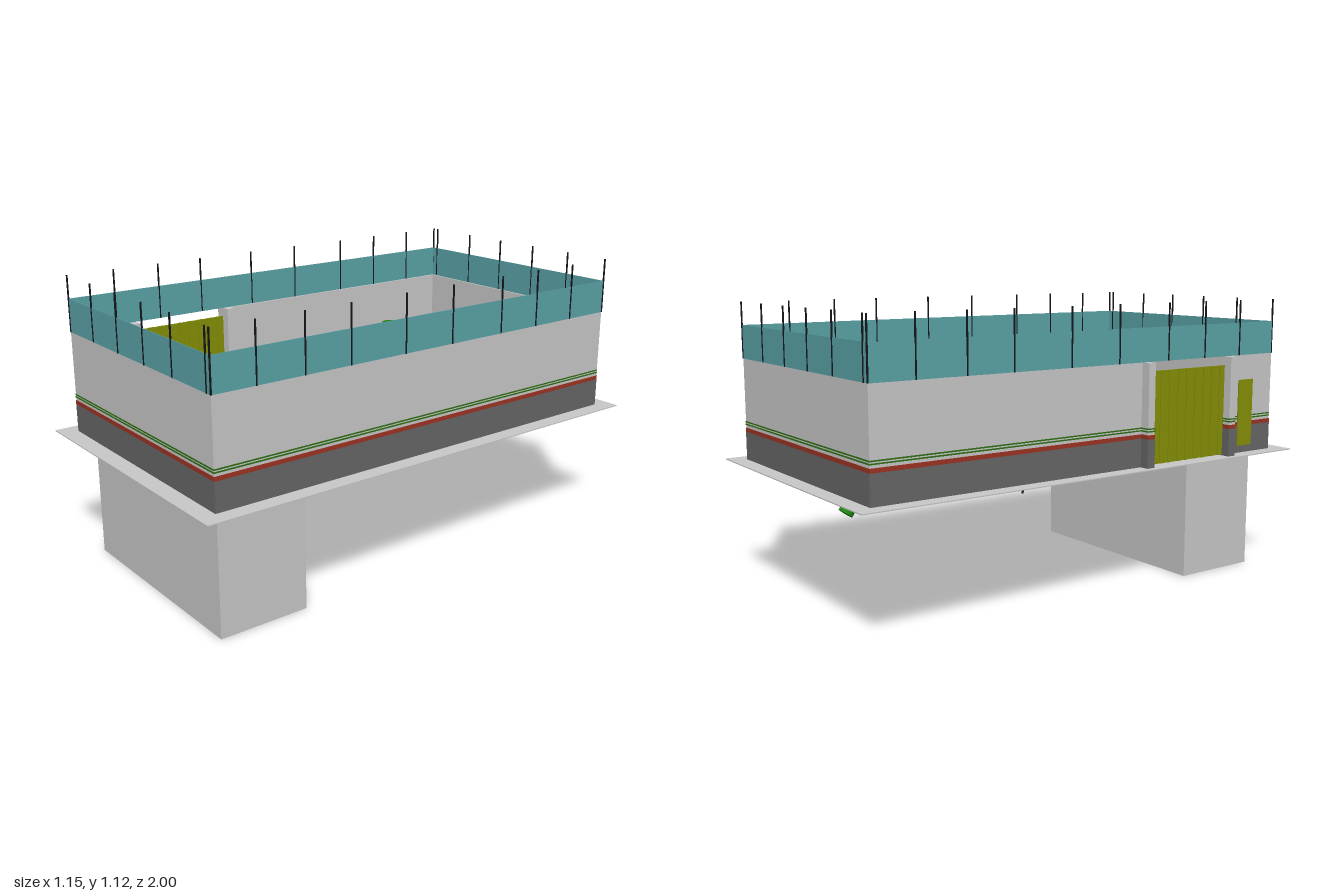
import * as THREE from 'three';

const mat = (name, color, side = THREE.FrontSide) => {
  const m = new THREE.MeshStandardMaterial({ color, side });
  m.name = name;
  return m;
};

export function createModel() {
  const root = new THREE.Group();
  root.name = 'pipelineYard';
  const M = {
    concrete: mat('concrete', 0xc8c8c8, THREE.DoubleSide),
    dark: mat('darkGrey', 0x666666),
    red: mat('brickRed', 0x9c3322),
    teal: mat('tealMesh', 0x5aa3a7, THREE.DoubleSide),
    green: mat('pipeGreen', 0x1f8a10),
    lineGreen: mat('stripeGreen', 0x2f6f14),
    blue: mat('blue', 0x1f6f96),
    navy: mat('navy', 0x2b2e48),
    lime: mat('gateLime', 0x858f05),
    black: mat('black', 0x14161c),
  };
  const V = (x, y, z) => new THREE.Vector3(x, y, z);
  const add = (name, geo, m, parent = root) => {
    const mesh = new THREE.Mesh(geo, m);
    mesh.name = name;
    parent.add(mesh);
    return mesh;
  };
  // Box given by its extents
  const box = (name, m, x0, x1, y0, y1, z0, z1, parent) => {
    const g = new THREE.BoxGeometry(x1 - x0, y1 - y0, z1 - z0);
    g.translate((x0 + x1) / 2, (y0 + y1) / 2, (z0 + z1) / 2);
    return add(name, g, m, parent);
  };
  // Block with different bottom and top rectangles [x0, x1, z0, z1]
  const taper = (name, m, y0, y1, b, t) => {
    const g = new THREE.BoxGeometry(1, 1, 1), p = g.attributes.position;
    for (let i = 0; i < p.count; i++) {
      const r = p.getY(i) > 0 ? t : b;
      p.setXYZ(i, r[p.getX(i) > 0 ? 1 : 0], p.getY(i) > 0 ? y1 : y0, r[p.getZ(i) > 0 ? 3 : 2]);
    }
    g.computeVertexNormals();
    return add(name, g, m);
  };
  // Cylinder between two points
  const rod = (name, m, a, b, r, seg = 16) => {
    const d = b.clone().sub(a), g = new THREE.CylinderGeometry(r, r, d.length(), seg);
    const mesh = add(name, g, m);
    mesh.position.copy(a).add(b).multiplyScalar(0.5);
    mesh.quaternion.setFromUnitVectors(V(0, 1, 0), d.normalize());
    return mesh;
  };
  // Pipe through points with rounded bends
  const pipe = (name, pts, r, bend = 0.04) => {
    const path = new THREE.CurvePath();
    let last = pts[0];
    for (let i = 1; i < pts.length - 1; i++) {
      const toward = (q) => pts[i].clone().add(q.clone().sub(pts[i]).setLength(bend));
      const a = toward(pts[i - 1]), b = toward(pts[i + 1]);
      path.add(new THREE.LineCurve3(last, a));
      path.add(new THREE.QuadraticBezierCurve3(a, pts[i], b));
      last = b;
    }
    path.add(new THREE.LineCurve3(last, pts[pts.length - 1]));
    add(name, new THREE.TubeGeometry(path, 90, r, 16), M.green);
    [[pts[0], pts[1]], [pts.at(-1), pts.at(-2)]].forEach(([e, n]) =>
      rod(name + 'End', M.green, e, e.clone().lerp(n, 0.02), r));
  };

  // Ground slab and buried tank
  box('groundSlab', M.concrete, -0.577, 0.575, 0.497, 0.501, -1, 1);
  box('buriedTank', M.concrete, -0.447, 0.447, 0, 0.497, 0.53, 0.89);

  // Perimeter walls with painted outer bands
  const X0 = -0.515, X1 = 0.51, Z0 = -0.935, Z1 = 0.93, T = 0.01, e = 0.002;
  const bands = [
    ['plinth', M.dark, 0.5, 0.612], ['redStripe', M.red, 0.612, 0.628],
    ['greenStripe', M.lineGreen, 0.639, 0.644], ['greenStripe', M.lineGreen, 0.649, 0.654],
  ];
  const wall = (name, x0, x1, z0, z1, out) => {
    box(name, M.concrete, x0, x1, 0.5, 0.9, z0, z1);
    for (const [n, m, a, b] of bands) {
      if (out === '+x') box(n, m, x1, x1 + e, a, b, z0, z1);
      if (out === '-x') box(n, m, x0 - e, x0, a, b, z0, z1);
      if (out === '+z') box(n, m, x0, x1, a, b, z1, z1 + e);
      if (out === '-z') box(n, m, x0, x1, a, b, z0 - e, z0);
    }
  };
  wall('frontWall', X0, X1, Z1 - T, Z1, '+z');
  wall('backWall', X0, X1, Z0, Z0 + T, '-z');
  wall('leftWall', X1 - T, X1, Z0, Z1, '+x');
  wall('rightWallRear', X0, X0 + T, Z0, 0.23, '-x');
  wall('rightWallFront', X0, X0 + T, 0.68, Z1, '-x');

  // Mesh fence above the walls
  const f = 0.002;
  box('fenceFront', M.teal, X0, X1, 0.9, 1.03, Z1 - f, Z1);
  box('fenceBack', M.teal, X0, X1, 0.9, 1.03, Z0, Z0 + f);
  box('fenceLeft', M.teal, X1 - f, X1, 0.9, 1.03, Z0, Z1);
  box('fenceRight', M.teal, X0, X0 + f, 0.9, 1.03, Z0, Z1);
  const post = (x, z) => box('fencePost', M.black, x - 0.0025, x + 0.0025, 0.9, 1.12, z - 0.0025, z + 0.0025);
  for (const x of [-0.513, -0.317, -0.12, 0.073, 0.268, 0.485]) {
    post(x, Z1);
    post(-x - 0.003, Z0);
  }
  for (const z of [0.76, 0.567, 0.374, 0.128, -0.096, -0.348, -0.54, -0.738]) {
    post(X1, z);
    post(X0, z - 0.022);
  }
  post(X1, Z1);
  post(X0, Z0);

  // Gate columns, sliding gate and side door
  for (const [a, b] of [[0.22, 0.252], [0.655, 0.687]]) {
    box('gateColumn', M.concrete, -0.553, -0.478, 0.5, 0.9, a, b);
    for (const [n, m, y0, y1] of bands) box('column' + n, m, -0.553 - e, -0.478 + e, y0, y1, a - e, b + e);
  }
  box('gatePanel', M.lime, -0.519, -0.515, 0.505, 0.865, 0.252, 0.655);
  for (let i = 0; i < 9; i++) {
    const z = 0.265 + i * 0.045;
    box('gateRib', M.lime, -0.522, -0.512, 0.505, 0.865, z, z + 0.017);
  }
  box('sideDoor', M.lime, X0 - 0.005, X0, 0.53, 0.8, 0.74, 0.82);

  // Equipment building: two wings joined behind a recess
  const wings = [[0.24, 0.495, -0.73, -0.47], [0.24, 0.495, -0.29, -0.025], [0.365, 0.495, -0.47, -0.29]];
  wings.forEach(([a, b, c, d]) => box('buildingWall', M.blue, a, b, 0.5, 0.738, c, d));
  box('roofRear', M.red, 0.225, 0.505, 0.738, 0.752, -0.742, -0.47);
  box('roofFront', M.red, 0.225, 0.505, 0.738, 0.752, -0.29, -0.015);
  box('roofLink', M.red, 0.365, 0.505, 0.738, 0.752, -0.47, -0.29);
  box('recessCabinet', M.blue, 0.25, 0.335, 0.5, 0.66, -0.465, -0.3);
  box('recessCabinetBack', M.blue, 0.335, 0.362, 0.5, 0.64, -0.44, -0.31);
  for (const z of [-0.405, -0.365]) box('cabinetFitting', M.blue, 0.225, 0.25, 0.54, 0.6, z - 0.015, z + 0.015);

  // Control booth
  box('controlBooth', M.concrete, 0.405, 0.465, 0.5, 0.775, 0.2, 0.32);
  box('boothDoor', M.blue, 0.402, 0.405, 0.51, 0.75, 0.222, 0.3);

  // Main pipeline
  const H = 0.69, PX = -0.235, QX = -0.05;
  pipe('mainPipe', [V(QX, 0.5, 0.695), V(QX, H, 0.695), V(QX, H, 0.3), V(PX, H, 0.09),
    V(PX, H, -0.81), V(PX, 0.52, -0.81), V(PX, 0.42, -0.885)], 0.027);
  const flangeZ = (x, z, r = 0.037) => rod('flange', M.green, V(x, H, z - 0.006), V(x, H, z + 0.006), r);
  [0.33, 0.43, 0.52, 0.56, 0.62].forEach((z) => flangeZ(QX, z, 0.034));
  [0.07, -0.08, -0.16, -0.44, -0.52, -0.59].forEach((z) => flangeZ(PX, z, 0.034));
  rod('outletCollar', M.green, V(PX, H, -0.845), V(PX, H, -0.8), 0.03);
  rod('outletFlange', M.green, V(PX, H, -0.86), V(PX, H, -0.845), 0.035);

  // Valves with handwheels
  const valve = (x, z, top) => {
    add('valveBody', new THREE.SphereGeometry(0.04, 20, 14), M.green).position.set(x, H, z);
    rod('valveBonnet', M.green, V(x, H, z), V(x, H + 0.055, z), 0.022);
    rod('valveStem', M.green, V(x, H, z), V(x, top, z), 0.006, 8);
    const w = add('handwheel', new THREE.TorusGeometry(0.028, 0.004, 8, 24), M.green);
    w.position.set(x, top - 0.01, z);
    w.rotation.x = Math.PI / 2;
    for (const [a, b] of [[0.028, 0], [0, 0.028]])
      rod('wheelSpoke', M.green, V(x - a, top - 0.01, z - b), V(x + a, top - 0.01, z + b), 0.003, 6);
  };
  valve(QX, 0.385, 0.81);
  valve(PX, -0.555, 0.78);
  valve(-0.3, -0.48, 0.78);

  // Branch pipe with motor
  rod('branchPipe', M.green, V(PX, H, -0.48), V(-0.455, H, -0.48), 0.024);
  [-0.27, -0.335, -0.45].forEach((x) =>
    rod('branchFlange', M.green, V(x - 0.007, H, -0.48), V(x + 0.007, H, -0.48), 0.036));
  rod('motorBody', M.navy, V(-0.43, H, -0.48), V(-0.35, H, -0.48), 0.036);
  rod('motorHousing', M.navy, V(-0.39, H, -0.48), V(-0.39, H + 0.05, -0.48), 0.024);

  // Flow meter and its ground probe
  rod('meterBody', M.concrete, V(PX, H, -0.145), V(PX, H, -0.095), 0.038);
  rod('meterNeck', M.black, V(PX, H, -0.12), V(PX, 0.745, -0.12), 0.01);
  rod('meterHead', M.concrete, V(PX - 0.022, 0.76, -0.12), V(PX + 0.022, 0.76, -0.12), 0.022);
  rod('meterDial', M.black, V(PX + 0.022, 0.76, -0.12), V(PX + 0.026, 0.76, -0.12), 0.017);
  rod('groundProbe', M.concrete, V(-0.295, 0.44, -0.175), V(-0.295, 0.68, -0.175), 0.009, 10);
  rod('probeTip', M.black, V(-0.295, 0.41, -0.175), V(-0.295, 0.44, -0.175), 0.004, 8);
  rod('probeArm', M.concrete, V(-0.3, 0.68, -0.18), V(PX, 0.7, -0.14), 0.006, 8);

  // Saddle supports with hollow feet below the slab
  const support = (x, z, turn = 0) => {
    const g = new THREE.Group();
    g.name = 'pipeSupport';
    g.position.set(x, 0, z);
    g.rotation.y = turn;
    root.add(g);
    const s = new THREE.Shape([[-0.086, 0.5], [0.086, 0.5], [0.075, 0.69], [0.03, 0.69], [0.018, 0.665],
      [-0.018, 0.665], [-0.03, 0.69], [-0.075, 0.69]].map((p) => new THREE.Vector2(...p)));
    const geo = new THREE.ExtrudeGeometry(s, { depth: 0.054, bevelEnabled: false });
    geo.translate(0, 0, -0.027);
    add('supportSaddle', geo, M.concrete, g);
    for (const k of [-1, 1]) {
      box('footEnd', M.concrete, k * 0.081 - 0.005, k * 0.081 + 0.005, 0.47, 0.5, -0.027, 0.027, g);
      box('footSide', M.concrete, -0.086, 0.086, 0.47, 0.5, k * 0.023 - 0.004, k * 0.023 + 0.004, g);
    }
  };
  [-0.48, -0.31, -0.015].forEach((z) => support(PX, z));
  support(-0.135, 0.215, Math.PI / 4);
  support(QX, 0.49);

  // Outlet thrust block and inlet pit
  taper('thrustBlock', M.concrete, 0.5, 0.74, [-0.35, -0.12, -0.83, -0.62], [-0.32, -0.15, -0.745, -0.645]);
  taper('pitWallRight', M.concrete, 0.5, 0.62, [-0.203, -0.14, 0.6, 0.8], [-0.188, -0.14, 0.6, 0.8]);
  taper('pitWallLeft', M.concrete, 0.5, 0.62, [0.05, 0.107, 0.6, 0.8], [0.05, 0.092, 0.6, 0.8]);
  box('pitCover', M.green, -0.14, 0.018, 0.5, 0.52, 0.63, 0.77);
  for (const z of [0.638, 0.762]) box('pitBeam', M.green, -0.145, 0.052, 0.52, 0.54, z - 0.006, z + 0.006);
  return root;
}
